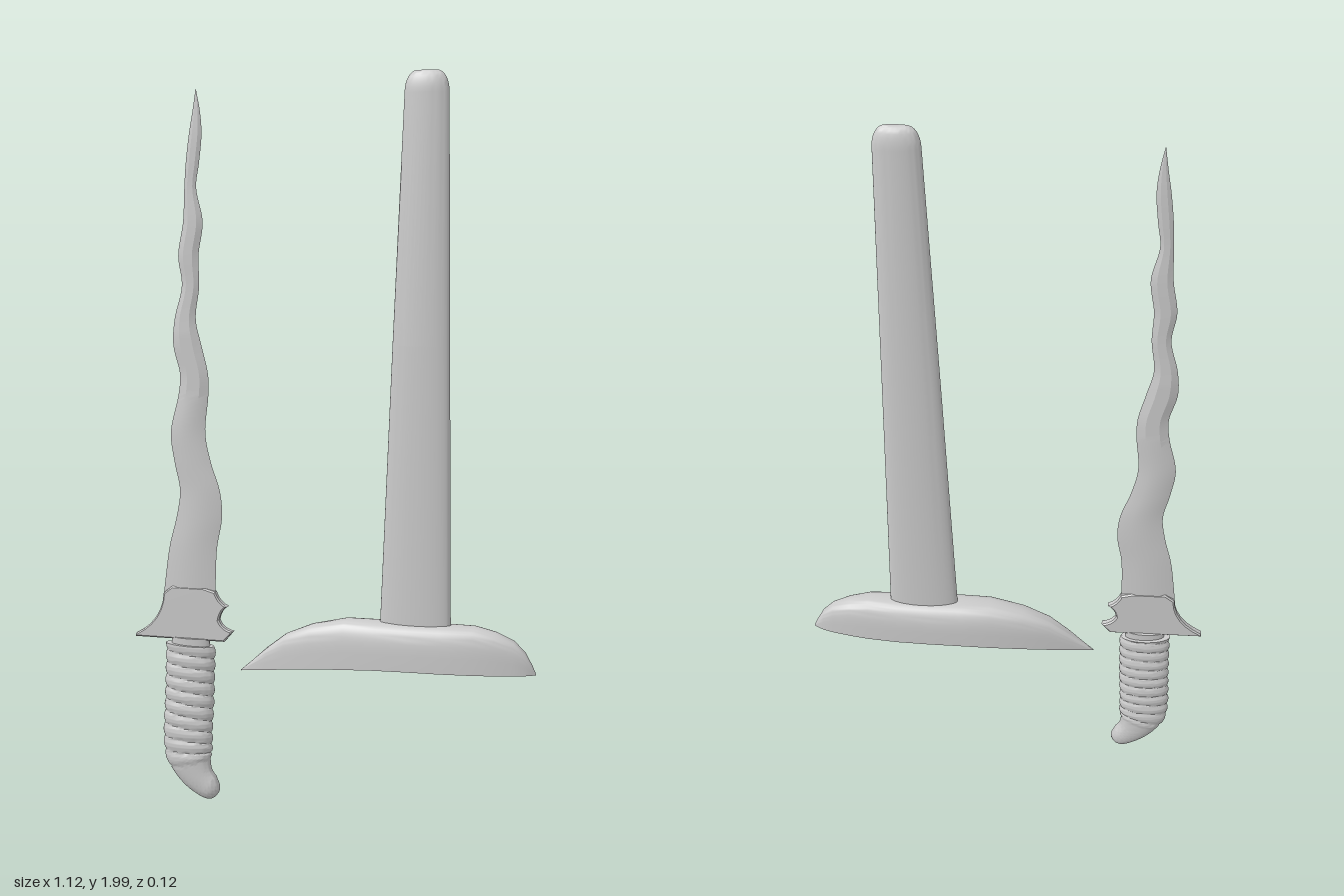
import * as THREE from 'three';
import { toCreasedNormals } from 'three/addons/utils/BufferGeometryUtils.js';

const material = new THREE.MeshStandardMaterial({ color: 0xcccccc });

// Skin a list of equal-length rings of Vector3 and close both ends.
function loft(rings, crease) {
  const n = rings[0].length, m = rings.length;
  const middle = (r) => r.reduce((s, p) => s.add(p), new THREE.Vector3()).divideScalar(n);
  const points = [...rings.flat(), middle(rings[0]), middle(rings[m - 1])];
  const index = [];
  for (let j = 0; j < n; j++) {
    const k = (j + 1) % n;
    for (let i = 0; i < m - 1; i++) {
      const a = i * n + j, b = i * n + k;
      index.push(a, b, b + n, a, b + n, a + n);
    }
    index.push(m * n, k, j, m * n + 1, (m - 1) * n + j, (m - 1) * n + k);
  }
  const geometry = new THREE.BufferGeometry().setFromPoints(points);
  geometry.setIndex(index);
  return toCreasedNormals(geometry, crease);
}

function part(name, geometry) {
  const mesh = new THREE.Mesh(geometry, material);
  mesh.name = name;
  return mesh;
}

// Smooth curve through rows of three numbers
const rowCurve = (rows) => new THREE.CatmullRomCurve3(rows.map((r) => new THREE.Vector3(...r)));

// Wavy blade: rows of left edge, height, right edge
function bladeGeometry() {
  const curve = rowCurve([
    [-0.48, 0.48, -0.32], [-0.48, 0.56, -0.325], [-0.47, 0.65, -0.325], [-0.457, 0.735, -0.32],
    [-0.435, 0.82, -0.305], [-0.425, 0.89, -0.31], [-0.44, 0.97, -0.335], [-0.449, 1.05, -0.35],
    [-0.425, 1.155, -0.34], [-0.42, 1.21, -0.34], [-0.438, 1.29, -0.358], [-0.433, 1.36, -0.373],
    [-0.411, 1.45, -0.362], [-0.42, 1.53, -0.363], [-0.405, 1.62, -0.35], [-0.4, 1.71, -0.367],
    [-0.395, 1.775, -0.358], [-0.385, 1.85, -0.35], [-0.374, 1.91, -0.354], [-0.365, 1.965, -0.364],
  ]);
  // bevelled six-sided section: fraction across, fraction of thickness
  const section = [[1, 0], [0.72, -1], [0.28, -1], [0, 0], [0.28, 1], [0.72, 1]];
  const rings = curve.getPoints(120).map((p) => {
    const width = p.z - p.x, thick = Math.min(0.01, width * 0.14);
    return section.map(([u, v]) => new THREE.Vector3(p.x + u * width, p.y, v * thick));
  });
  return loft(rings, 0.4);
}

// Flared guard with a pointed left wing and a notched right side
function guardGeometry() {
  const shape = new THREE.Shape();
  shape.moveTo(-0.56, 0.47);
  shape.lineTo(-0.3, 0.47);
  shape.lineTo(-0.275, 0.5);
  shape.quadraticCurveTo(-0.305, 0.505, -0.315, 0.53);
  shape.quadraticCurveTo(-0.31, 0.56, -0.29, 0.57);
  shape.quadraticCurveTo(-0.315, 0.58, -0.325, 0.61);
  shape.lineTo(-0.36, 0.62);
  shape.lineTo(-0.45, 0.62);
  shape.lineTo(-0.475, 0.6);
  shape.quadraticCurveTo(-0.48, 0.52, -0.56, 0.478);
  const geometry = new THREE.ExtrudeGeometry(shape, {
    depth: 0.014, curveSegments: 6, bevelThickness: 0.004, bevelSize: 0.004,
    bevelOffset: -0.004, bevelSegments: 1,
  });
  return geometry.translate(0, 0, -0.007);
}

// Curved grip with a spiral wrap, running from the pommel up to the guard
function gripGeometry() {
  const path = rowCurve([
    [-0.322, 0.032, 0], [-0.35, 0.043, 0], [-0.385, 0.075, 0], [-0.408, 0.125, 0],
    [-0.412, 0.19, 0], [-0.406, 0.3, 0], [-0.4, 0.455, 0]]);
  const rings = [], steps = 150, sides = 36;
  for (let i = 0; i <= steps; i++) {
    const t = i / steps, p = path.getPointAt(t), dir = path.getTangentAt(t);
    const grow = THREE.MathUtils.smoothstep(t, 0, 0.38);
    const q = Math.min(1, t / 0.075);
    const round = Math.max(0.08, Math.sqrt(1 - (1 - q) ** 2));
    const wrapped = THREE.MathUtils.smoothstep(t, 0.24, 0.27);
    const ring = [];
    for (let j = 0; j < sides; j++) {
      const a = (j / sides) * Math.PI * 2;
      const phase = t * 13 + a / (Math.PI * 2);
      const bump = wrapped * 0.007 * (Math.sqrt(Math.abs(Math.sin(phase * Math.PI))) - 0.5);
      const across = ((0.035 + 0.034 * grow) * round + bump) * Math.cos(a);
      const deep = (0.0225 + 0.004 * grow) * round + bump;
      ring.push(new THREE.Vector3(p.x + dir.y * across, p.y - dir.x * across, -deep * Math.sin(a)));
    }
    rings.push(ring);
  }
  return loft(rings, 0.9);
}

// Oval tapering scabbard with a rounded tip
function scabbardGeometry() {
  const rows = [[0.5, 0.234, 0.098, 0.025], [0.56, 0.235, 0.096, 0.025], [1.3, 0.244, 0.076, 0.024]];
  for (let i = 0; i <= 8; i++) {
    const a = (i / 8) * Math.PI / 2, c = Math.cos(a);
    rows.push([1.945 + 0.055 * Math.sin(a), 0.253, 0.026 + 0.032 * c, 0.003 + 0.02 * c]);
  }
  const rings = rows.map(([y, x, w, d]) => Array.from({ length: 40 }, (_, j) => {
    const a = (j / 40) * Math.PI * 2;
    return new THREE.Vector3(x + w * Math.cos(a), y, -d * Math.sin(a));
  }));
  return loft(rings, 0.9);
}

// Boat-shaped scabbard mouth: rows of x, underside, top, half depth
function mouthGeometry() {
  const rows = [
    [-0.255, 0.39, 0.392, 0.001], [-0.225, 0.395, 0.418, 0.008], [-0.18, 0.401, 0.46, 0.018],
    [-0.125, 0.41, 0.503, 0.03], [-0.05, 0.42, 0.535, 0.043], [0.045, 0.428, 0.556, 0.053],
    [0.13, 0.433, 0.556, 0.057], [0.22, 0.435, 0.556, 0.058], [0.31, 0.435, 0.556, 0.055],
    [0.395, 0.435, 0.556, 0.047], [0.45, 0.435, 0.544, 0.038], [0.5, 0.435, 0.523, 0.027],
    [0.53, 0.435, 0.495, 0.018], [0.55, 0.435, 0.46, 0.008], [0.56, 0.435, 0.438, 0.001],
  ];
  const n = 24;
  const rings = rows.map(([x, low, top, d]) => Array.from({ length: n + 1 }, (_, k) => {
    const a = (k / n) * Math.PI, c = Math.cos(a);
    const z = -Math.sign(c) * Math.abs(c) ** 0.6 * d;
    const y = low + (top - low) * Math.max(0, Math.sin(a)) ** 0.5;
    return new THREE.Vector3(x, y, z);
  }));
  return loft(rings, 0.7);
}

export function createModel() {
  const model = new THREE.Group();
  model.name = 'daggerAndScabbard';

  const dagger = new THREE.Group();
  dagger.name = 'dagger';
  const neck = part('neck', new THREE.CylinderGeometry(0.055, 0.055, 0.03, 32));
  neck.scale.z = 0.36;
  neck.position.set(-0.4, 0.46, 0);
  dagger.add(part('blade', bladeGeometry()), part('guard', guardGeometry()), neck, part('grip', gripGeometry()));

  const scabbard = new THREE.Group();
  scabbard.name = 'scabbard';
  scabbard.add(part('scabbardBody', scabbardGeometry()), part('scabbardMouth', mouthGeometry()));

  model.add(dagger, scabbard);
  return model;
}
